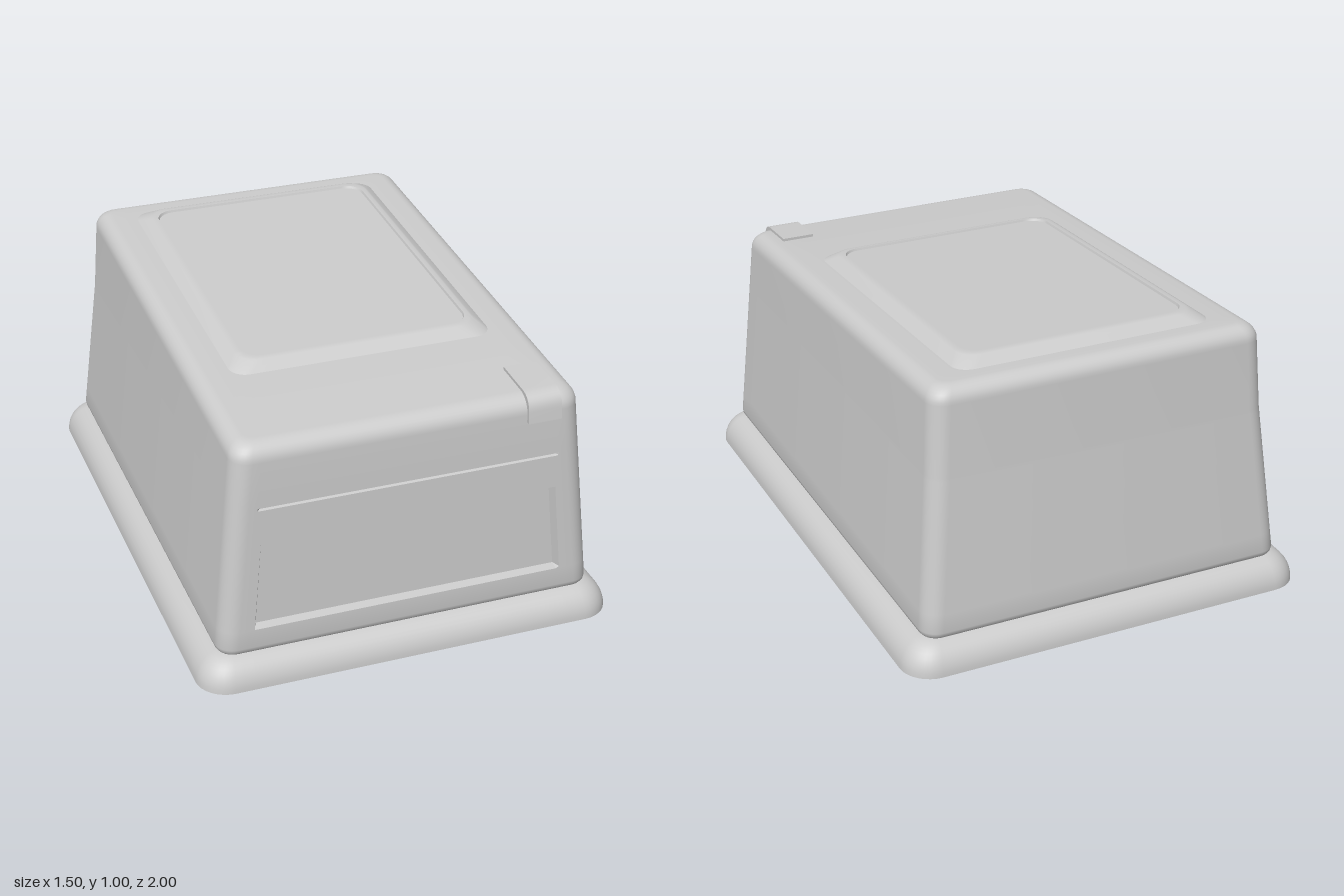
import * as THREE from 'three';
import { toCreasedNormals } from 'three/addons/utils/BufferGeometryUtils.js';

const SLOPE = 0.056; // the roof rises towards the back
const PANEL = 0.905, GROOVE = 0.94; // half widths as fractions of the front wall
const COLS = [-1, -GROOVE - 0.008, -GROOVE + 0.008, -PANEL - 0.01, -PANEL + 0.01,
  PANEL - 0.01, PANEL + 0.01, GROOVE - 0.008, GROOVE + 0.008, 1];
const material = new THREE.MeshStandardMaterial({ color: 0xcccccc, side: THREE.DoubleSide });

// Rounded rectangle in plan; the front side carries extra columns that can be pushed in.
function ring({ y, x, zf, zb, r, lean = 0, depth = 0, limit = 0 }) {
  const pts = [];
  for (const u of COLS) pts.push([u * (x - r), zf - (Math.abs(u) < limit ? depth : 0)]);
  const corners = [[x - r, zf - r, 90], [x - r, zb + r, 0], [r - x, zb + r, -90], [r - x, zf - r, -180]];
  corners.forEach(([cx, cz, start], c) => {
    for (let i = 0; i <= 8; i++) {
      if ((c === 0 && i === 0) || (c === 3 && i === 8)) continue; // shared with the front side
      const a = THREE.MathUtils.degToRad(start - i * 11.25);
      pts.push([cx + r * Math.cos(a), cz + r * Math.sin(a)]);
    }
  });
  return pts.map(([px, pz]) => [px, y + lean * SLOPE * (0.9 - pz), pz]);
}

// Skin over a stack of rings, optionally closed at the end.
function loft(name, sections, cap = false) {
  const rings = sections.map(ring), n = rings[0].length;
  const index = [];
  for (let i = 0; i < rings.length - 1; i++) {
    for (let j = 0; j < n; j++) {
      const a = i * n + j, b = i * n + (j + 1) % n;
      index.push(a, b, b + n, a, b + n, a + n);
    }
  }
  const verts = rings.flat();
  if (cap) {
    const s = sections[sections.length - 1], z = (s.zf + s.zb) / 2;
    verts.push([0, s.y + SLOPE * (0.9 - z), z]);
    const o = (rings.length - 1) * n;
    for (let j = 0; j < n; j++) index.push(o + j, o + (j + 1) % n, verts.length - 1);
  }
  const geo = new THREE.BufferGeometry();
  geo.setAttribute('position', new THREE.Float32BufferAttribute(verts.flat(), 3));
  geo.setIndex(index);
  const mesh = new THREE.Mesh(toCreasedNormals(geo, 0.5), material);
  mesh.name = name;
  return mesh;
}

// Tapered wall section at height y
function wall(y, depth = 0, limit = 0) {
  const t = (y - 0.13) / 0.69;
  return {
    y, x: 0.677 - 0.067 * t, zf: 0.943 - 0.023 * t, zb: -0.943 + 0.073 * t, r: 0.065,
    lean: THREE.MathUtils.clamp((y - 0.67) / 0.15, 0, 1), depth, limit,
  };
}

export function createModel() {
  const group = new THREE.Group();

  // Flared quarter-round skirt, open underneath
  const skirt = [];
  for (let i = 0; i <= 10; i++) {
    const a = (i / 10) * Math.PI / 2, c = 0.1 * Math.cos(a);
    skirt.push({ y: 0.108 * Math.sin(a), x: 0.65 + c, zf: 0.9 + c, zb: -0.9 - c, r: 0.03 + 0.8 * c });
  }
  group.add(loft('baseSkirt', skirt));

  // Walls with the sunken front panel and the groove above it
  const low = wall(0.13);
  const body = [];
  for (const a of [0, 30, 60]) {
    const s = 0.02 * (1 - Math.sin(THREE.MathUtils.degToRad(a)));
    const h = 0.025 * (1 - Math.cos(THREE.MathUtils.degToRad(a)));
    body.push({ ...low, y: 0.105 + h, x: low.x - s, zf: low.zf - s, zb: low.zb + s, r: 0.065 - s });
  }
  body.push(low, wall(0.197), wall(0.204, 0.03, PANEL), wall(0.519, 0.03, PANEL), wall(0.525),
    wall(0.645), wall(0.648, 0.01, GROOVE), wall(0.654, 0.01, GROOVE), wall(0.657), wall(0.67));

  // Rounded edge between walls and roof
  const top = wall(0.82);
  for (let i = 0; i <= 8; i++) {
    const a = (i / 8) * Math.PI / 2, s = 0.06 * (1 - Math.cos(a));
    body.push({ ...top, y: 0.82 + 0.06 * Math.sin(a), x: top.x - s, zf: top.zf - s, zb: top.zb + s, r: 0.065 - s * 0.5 });
  }

  // Roof up to the raised frame
  const frameFoot = { y: 0.88, x: 0.472, zf: 0.49, zb: -0.76, r: 0.06, lean: 1 };
  body.push(frameFoot);
  group.add(loft('body', body));

  // Raised frame with a slightly sunken lid
  const lidEdge = { x: 0.41, zf: 0.43, zb: -0.69, r: 0.065, lean: 1 };
  group.add(loft('roofPanel', [
    frameFoot,
    { y: 0.908, x: 0.434, zf: 0.452, zb: -0.716, r: 0.07, lean: 1 },
    { y: 0.911, x: 0.426, zf: 0.444, zb: -0.708, r: 0.07, lean: 1 },
    { ...lidEdge, y: 0.911 },
    { ...lidEdge, y: 0.903, x: 0.407, zf: 0.427, zb: -0.687 },
  ], true));

  // Clip folded over the front top edge
  const profile = new THREE.Shape();
  profile.moveTo(0.72, 0.885);
  profile.lineTo(0.72, 0.9);
  profile.lineTo(0.87, 0.892);
  profile.quadraticCurveTo(0.926, 0.89, 0.932, 0.835);
  profile.lineTo(0.937, 0.793);
  profile.lineTo(0.915, 0.793);
  profile.lineTo(0.905, 0.84);
  profile.lineTo(0.86, 0.875);
  const clipGeo = new THREE.ExtrudeGeometry(profile, { depth: 0.12, bevelEnabled: false, curveSegments: 8 });
  clipGeo.rotateY(-Math.PI / 2);
  const clip = new THREE.Mesh(toCreasedNormals(clipGeo, 0.5), material);
  clip.name = 'frontClip';
  clip.position.x = 0.53;
  group.add(clip);

  return group;
}
